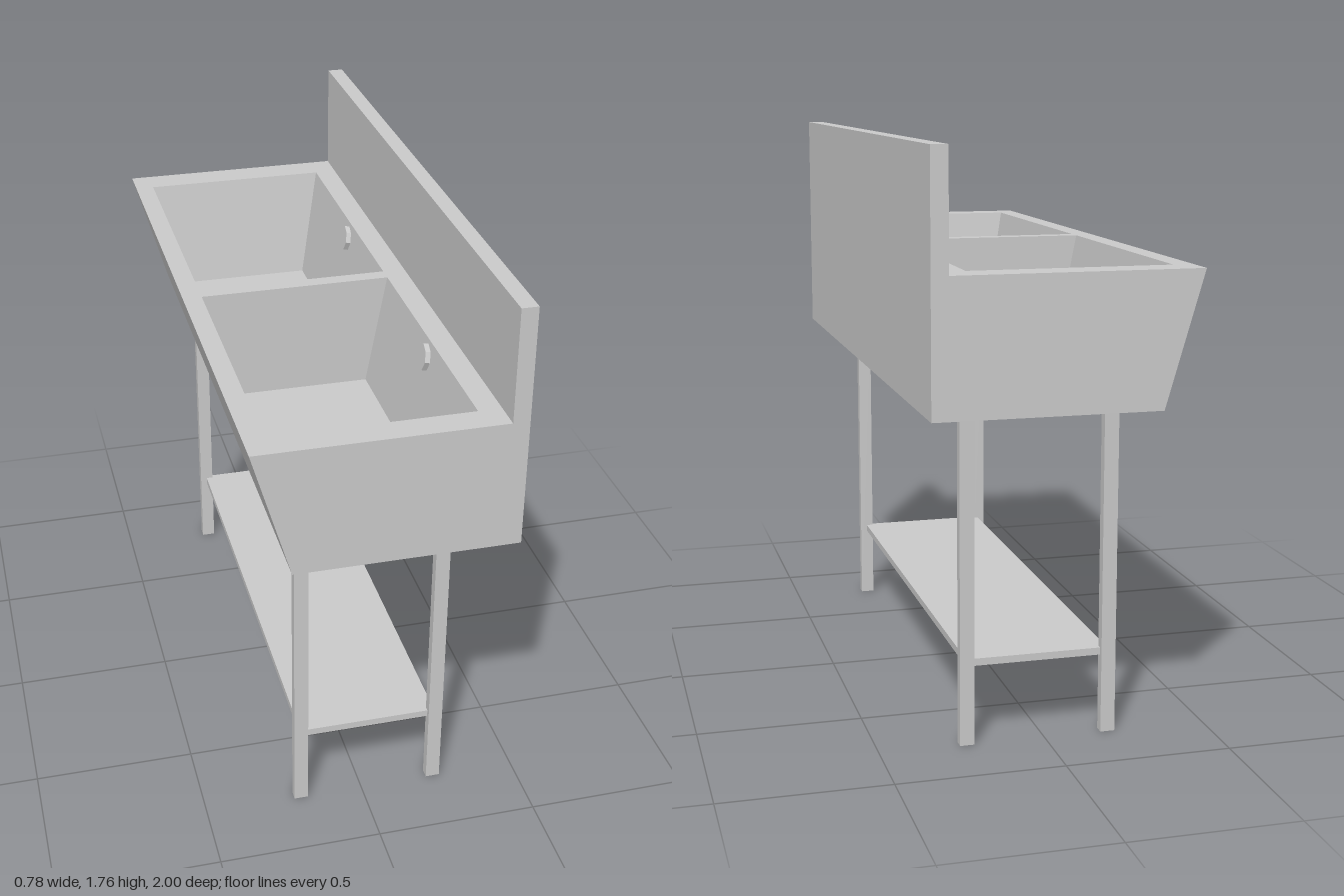
import * as THREE from 'three';

const steel = new THREE.MeshStandardMaterial({ color: 0xcccccc, flatShading: true });

// Rectangle corners at height y, counter-clockwise seen from above
const ring = (x0, x1, z0, z1, y) => [[x0, y, z0], [x0, y, z1], [x1, y, z1], [x1, y, z0]];

// Four walls between two rectangles plus a bottom; inward = seen from inside
function tub(top, bottom, inward) {
  const pos = [];
  const quad = (a, b, c, d) => {
    const order = inward ? [a, b, c, a, c, d] : [a, c, b, a, d, c];
    order.forEach((p) => pos.push(...p));
  };
  for (let i = 0; i < 4; i++) {
    const j = (i + 1) % 4;
    quad(top[i], top[j], bottom[j], bottom[i]);
  }
  quad(...bottom);
  const geo = new THREE.BufferGeometry();
  geo.setAttribute('position', new THREE.Float32BufferAttribute(pos, 3));
  geo.computeVertexNormals();
  return geo;
}

export function createModel() {
  const group = new THREE.Group();
  const add = (name, geo, x = 0, y = 0, z = 0) => {
    const mesh = new THREE.Mesh(geo, steel);
    mesh.name = name;
    mesh.position.set(x, y, z);
    group.add(mesh);
    return mesh;
  };
  const box = (name, x0, x1, y0, y1, z0, z1) =>
    add(name, new THREE.BoxGeometry(x1 - x0, y1 - y0, z1 - z0),
      (x0 + x1) / 2, (y0 + y1) / 2, (z0 + z1) / 2);

  const rimY = 1.415, baseY = 1.02, floorY = 1.055;

  // Outer shell with one slanted long side
  add('sinkBody', tub(ring(-0.39, 0.39, -1, 1, rimY), ring(-0.275, 0.39, -1, 1, baseY), false));
  box('backsplash', 0.34, 0.39, rimY, 1.76, -1, 1);

  // Rim with two basin openings (shape y is -z)
  const rect = (Type, x0, x1, z0, z1) => new Type(
    [[x0, -z0], [x0, -z1], [x1, -z1], [x1, -z0]].map((p) => new THREE.Vector2(...p)));
  const rim = rect(THREE.Shape, -0.39, 0.34, -1, 1);

  // Basins: three sloping walls, upright divider side
  const basins = [
    { top: [-0.9, -0.02], floor: [-0.845, -0.02], drainZ: -0.425 },
    { top: [0.027, 0.913], floor: [0.027, 0.86], drainZ: 0.472 },
  ];
  for (const b of basins) {
    rim.holes.push(rect(THREE.Path, -0.33, 0.27, ...b.top));
    add('basin', tub(ring(-0.33, 0.27, ...b.top, rimY), ring(-0.26, 0.205, ...b.floor, floorY), true));
    // Overflow plate lying on the sloping wall
    const plate = add('overflowPlate', new THREE.CylinderGeometry(0.043, 0.043, 0.02, 8), 0.254, 1.36, b.drainZ);
    plate.rotation.z = Math.PI / 2 - Math.atan2(0.065, rimY - floorY);
  }
  add('rim', new THREE.ShapeGeometry(rim).rotateX(-Math.PI / 2), 0, rimY, 0);

  // Legs and lower shelf
  for (const x of [-0.197, 0.237]) {
    for (const z of [-0.77, 0.77]) {
      box('leg', x - 0.022, x + 0.022, 0, baseY, z - 0.015, z + 0.015);
    }
  }
  box('shelf', -0.197, 0.237, 0.238, 0.26, -0.77, 0.77);

  return group;
}
